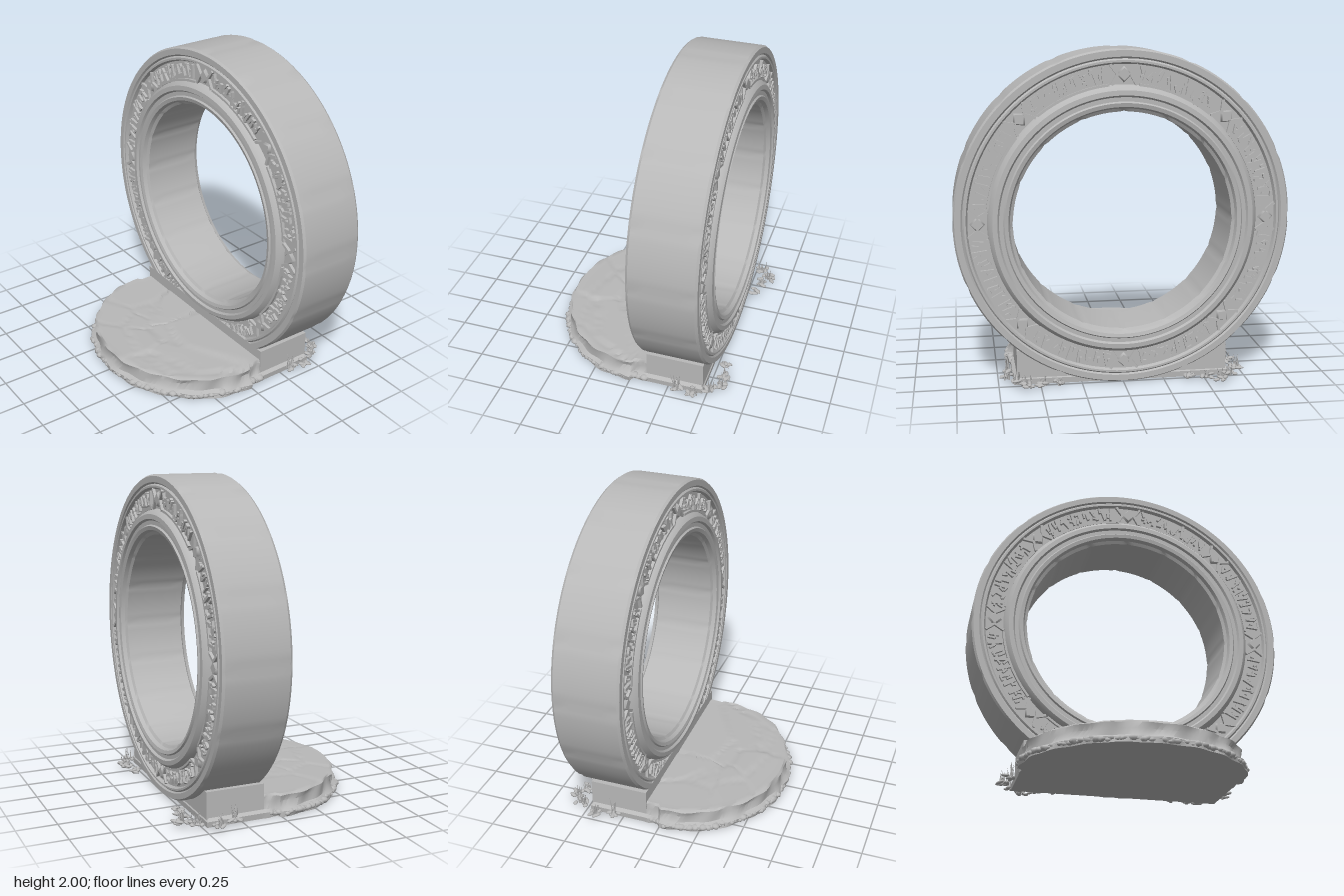
import * as THREE from 'three';
import { mergeGeometries, toCreasedNormals, mergeVertices } from 'three/addons/utils/BufferGeometryUtils.js';

const MID_Z = -0.31; // middle of the ring's depth
const stone = new THREE.MeshStandardMaterial({ name: 'grey stone', color: 0xb8b8b8, side: THREE.DoubleSide });

let seed = 7;
const rnd = (a = 0, b = 1) => {
  seed = (seed * 16807) % 2147483647;
  return a + (b - a) * (seed / 2147483647);
};

function add(parent, name, geometry) {
  const mesh = new THREE.Mesh(geometry, stone);
  mesh.name = name;
  parent.add(mesh);
  return mesh;
}

// Moves every vertex by a rule
function warp(geometry, rule) {
  const p = geometry.attributes.position, v = new THREE.Vector3();
  for (let i = 0; i < p.count; i++) {
    v.fromBufferAttribute(p, i);
    rule(v);
    p.setXYZ(i, v.x, v.y, v.z);
  }
  return geometry;
}

// The bore sits slightly lower than the outer circle
const bend = (v) => {
  const r = Math.hypot(v.x, v.y);
  v.y -= 0.015 * THREE.MathUtils.clamp((1 - r) / 0.35, 0, 1);
};

// Moulded ring with shallow joints between its blocks
function ringGeometry() {
  const front = [
    [0.998, 0], [0.998, 0.1], [0.998, 0.195], [0.988, 0.21], [0.952, 0.21], [0.943, 0.2], [0.934, 0.21],
    [0.922, 0.21], [0.912, 0.19], [0.8, 0.19], [0.79, 0.214], [0.77, 0.234], [0.742, 0.236],
    [0.732, 0.222], [0.708, 0.222], [0.7, 0.232], [0.678, 0.226], [0.668, 0.202], [0.65, 0.19], [0.648, 0.1], [0.648, 0],
  ];
  const back = front.slice(0, -1).reverse().map(([r, z]) => [r, -z]);
  const profile = [...front, ...back].map(([r, z]) => new THREE.Vector2(r, z));
  const g = new THREE.LatheGeometry(profile, 144).rotateX(Math.PI / 2);
  warp(g, (v) => {
    const r = Math.hypot(v.x, v.y), a = Math.atan2(v.y, v.x);
    if (r > 0.99 || r < 0.66) {
      const t = a / (Math.PI / 8);
      const joint = Math.abs(t - Math.round(t)) < 0.06 ? 0.005 : 0;
      const k = 1 - joint * (r > 0.9 ? 1 : -1) / r;
      v.x *= k;
      v.y *= k;
    }
    bend(v);
  });
  return toCreasedNormals(g, 0.55);
}

// Raised carvings of one face: diamonds every eighth turn with strokes between
function carvingGeometry() {
  const list = [];
  const place = (g, angle, r) => list.push(g.rotateZ(angle).translate(r * Math.cos(angle), r * Math.sin(angle), 0.196));
  const bar = (angle, r, length, width, tilt = 0) =>
    place(new THREE.BoxGeometry(length, width, 0.024).rotateZ(tilt), angle, r);
  for (let s = 0; s < 8; s++) {
    const a0 = s * Math.PI / 4;
    place(new THREE.CylinderGeometry(0.036, 0.05, 0.024, 4).rotateX(Math.PI / 2), a0, 0.856);
    for (const side of [-1, 1]) {
      bar(a0 + side * 0.068, 0.884, 0.07, 0.016, side * 0.6);
      bar(a0 + side * 0.068, 0.828, 0.07, 0.016, -side * 0.6);
    }
    for (let i = 0; i < 9; i++) {
      const a = a0 + 0.135 + i * 0.0645 + rnd(-0.008, 0.008);
      const length = rnd(0.055, 0.095);
      bar(a, rnd(0.845, 0.866), length, rnd(0.011, 0.02), rnd(-0.3, 0.3));
      bar(a + 0.024, rnd(0.825, 0.89), rnd(0.02, 0.05), 0.013, rnd(-0.7, 0.7));
      bar(a + 0.012, rnd(0.82, 0.895), 0.012, 0.034, rnd(-0.5, 0.5));
    }
    // Low strip along the inner edge of each panel
    for (let i = 0; i < 7; i++) bar(a0 + 0.15 + i * 0.081, 0.801, 0.014, 0.066);
  }
  return warp(mergeGeometries(list), bend);
}

// Outline of the half-round platform, t in 0..1 around
function outline(t) {
  const a = t * Math.PI * 2, c = Math.cos(a), s = Math.sin(a);
  if (s >= 0) return [0.665 * c, 0.615 * s];
  const k = 1 / Math.max(Math.abs(c), Math.abs(s));
  return [0.64 * c * k, 0.46 * s * k];
}

// Flagstone heights: each stone has its own level and tilt, with sunken joints
const stones = Array.from({ length: 16 }, () => ({
  x: rnd(-0.65, 0.65), z: rnd(-0.1, 0.6), h: rnd(-0.006, 0.005), tx: rnd(-0.02, 0.02), tz: rnd(-0.03, 0.03),
}));
function paving(x, z) {
  const near = stones.map((s) => [Math.hypot((x - s.x) * 0.75, z - s.z), s]).sort((a, b) => a[0] - b[0]);
  const s = near[0][1];
  const joint = Math.max(0, 1 - (near[1][0] - near[0][0]) / 0.025) * 0.006;
  return s.h + s.tx * (x - s.x) + s.tz * (z - s.z) - joint;
}

function platformGeometry() {
  const around = 144, position = [], index = [];
  const levels = [[0, 0], [1.03, 0], [1.035, 0.035], [1.0, 0.05], [0.985, 0.09], [0.995, 0.125], [0.975, 0.138]];
  for (let i = 1; i <= 26; i++) levels.push([0.965 * (1 - i / 26), 0.136]);
  levels.forEach(([scale, y], row) => {
    for (let j = 0; j < around; j++) {
      const t = j / around, [ox, oz] = outline(t);
      const rough = row > 0 && row < 6 && oz > -0.1
        ? 0.009 * Math.sin(j * 0.9 + row) + 0.006 * Math.sin(j * 0.37 - row * 2) : 0;
      const x = ox * (scale + rough), z = oz * (scale + rough);
      position.push(x, y + (row > 5 ? paving(x, z) : 0), z);
      if (row) {
        const k = (j + 1) % around, a = (row - 1) * around, b = row * around;
        index.push(a + j, b + j, a + k, a + k, b + j, b + k);
      }
    }
  });
  const g = new THREE.BufferGeometry();
  g.setAttribute('position', new THREE.Float32BufferAttribute(position, 3));
  g.setIndex(index);
  return toCreasedNormals(g, 0.7);
}

// Lumpy pebble
function pebble(x, y, z, r, flat = 0.7) {
  const g = mergeVertices(new THREE.IcosahedronGeometry(r, 1).deleteAttribute('uv').deleteAttribute('normal'));
  warp(g, (v) => v.multiplyScalar(rnd(0.8, 1.12)));
  g.scale(1, flat, 1).rotateY(rnd(0, 6)).translate(x, Math.max(y, r * flat * 1.1), z);
  g.computeVertexNormals();
  return g;
}

// Rubble along the foot of the platform
function rubbleGeometry() {
  const list = [];
  for (let i = 0; i < 84; i++) {
    const [x, z] = outline((i + rnd(-0.3, 0.3)) / 84 * 0.56 - 0.03);
    const k = rnd(1.0, 1.025);
    list.push(pebble(x * k, rnd(0.014, 0.03), z * k, rnd(0.018, 0.032)));
  }
  return mergeGeometries(list);
}

// Tuft of upright blades over a clump of flat leaves
function tuftGeometry(x, z, height, spread) {
  const list = [];
  for (let i = 0; i < 9; i++) {
    const h = height * rnd(0.45, 1);
    const blade = new THREE.ConeGeometry(0.0055, h, 4).translate(0, h / 2, 0);
    blade.rotateX(rnd(-0.25, 0.25)).rotateZ(rnd(-0.25, 0.25));
    list.push(blade.translate(x + rnd(-spread, spread) * 0.5, 0.025, z + rnd(-spread, spread) * 0.5));
  }
  for (let i = 0; i < 6; i++) {
    const leaf = new THREE.SphereGeometry(1, 8, 5).scale(rnd(0.018, 0.034), 0.009, 0.014).rotateZ(rnd(-0.3, 0.3));
    leaf.rotateY(rnd(0, 6)).translate(x + rnd(-spread, spread), rnd(0.025, 0.045), z + rnd(-spread, spread));
    list.push(leaf);
  }
  return mergeGeometries(list);
}

export function createModel() {
  const model = new THREE.Group();
  model.name = 'stoneRingGate';

  const gate = new THREE.Group();
  gate.name = 'gate';
  gate.position.set(0, 1.002, MID_Z);
  model.add(gate);
  add(gate, 'ring', ringGeometry());
  const carving = carvingGeometry();
  add(gate, 'frontCarvings', carving);
  add(gate, 'backCarvings', carving).rotation.y = Math.PI;

  // Block that cradles the ring
  add(model, 'pedestal', new THREE.BoxGeometry(1.28, 0.21, 0.37).translate(0, 0.105, -0.285));
  add(model, 'platform', platformGeometry());
  add(model, 'rubble', rubbleGeometry());

  // Plants at both ends of the pedestal and behind the ring
  const plants = new THREE.Group();
  plants.name = 'plants';
  model.add(plants);
  const tufts = [
    [0.69, -0.31, 0.14, 0.035], [0.7, -0.43, 0.08, 0.04], [0.64, -0.52, 0.1, 0.035], [0.58, -0.57, 0.08, 0.03],
    [0.49, -0.57, 0.08, 0.03], [0.39, -0.56, 0.04, 0.025],
    [-0.69, -0.31, 0.13, 0.035], [-0.72, -0.42, 0.09, 0.04], [-0.65, -0.54, 0.1, 0.04], [-0.58, -0.6, 0.08, 0.035],
    [-0.5, -0.57, 0.06, 0.035], [-0.4, -0.55, 0.04, 0.025],
  ];
  for (const tuft of tufts) add(plants, 'tuft', tuftGeometry(...tuft));
  return model;
}
